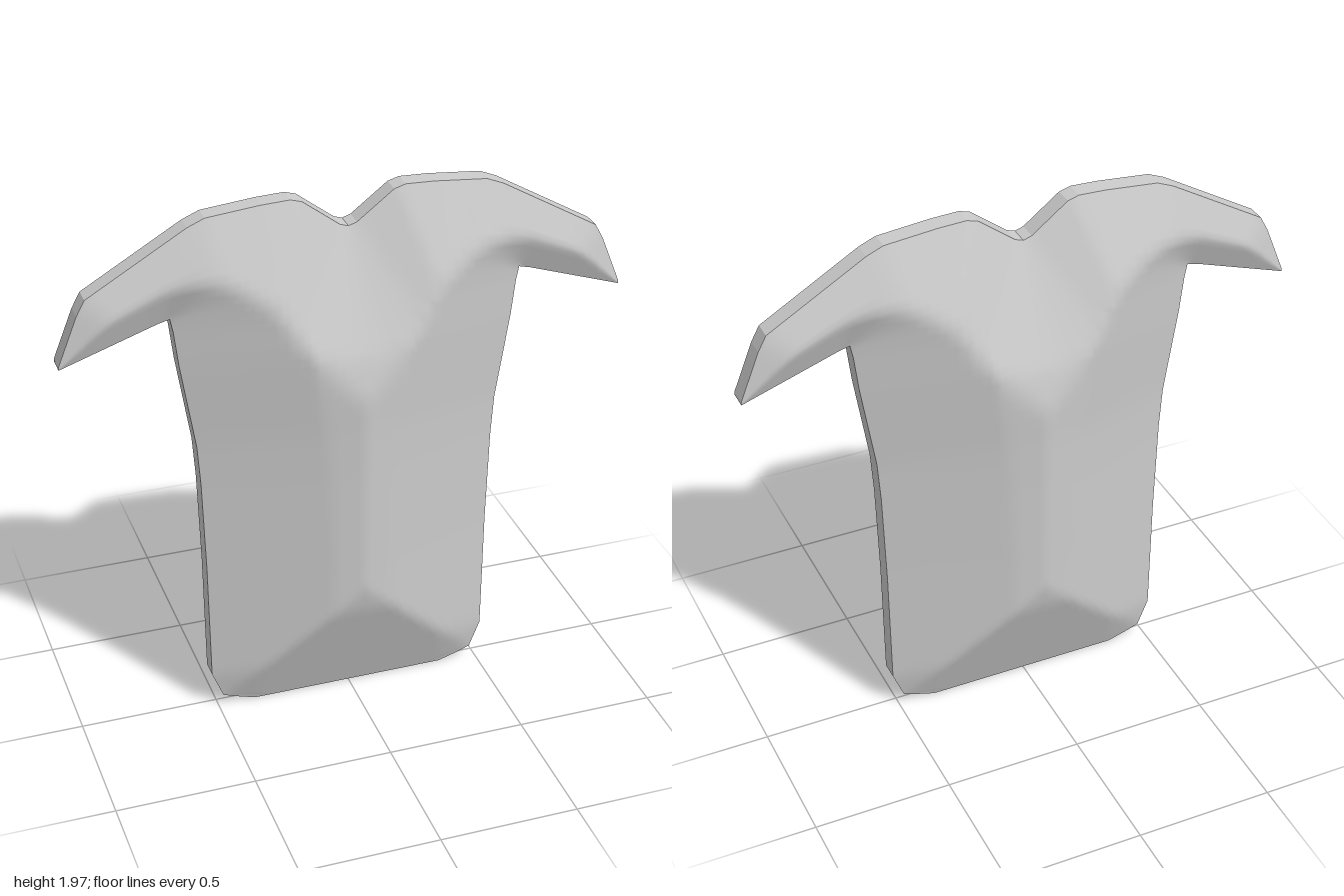
import * as THREE from 'three';
import { mergeVertices } from 'three/addons/utils/BufferGeometryUtils.js';

const RIM = 0.034; // half thickness at the edge

// Right half of the outline: hem and side, sleeve underside, shoulder to collar
const side = [[0.36, 0], [0.44, 0.025], [0.48, 0.04], [0.52, 0.14], [0.525, 0.6], [0.535, 0.95], [0.545, 1.1],
  [0.595, 1.42], [0.61, 1.55], [0.62, 1.6]];
const under = [[0.62, 1.6], [0.66, 1.59], [1, 1.475]];
const over = [[0, 1.845], [0.03, 1.855], [0.16, 1.955], [0.2, 1.967], [0.3, 1.963], [0.49, 1.945], [0.55, 1.92],
  [0.9, 1.715], [0.93, 1.66], [1, 1.485]];

const half = [...side, ...under.slice(1), ...[...over].reverse()];
const outline = [...half, ...half.slice(0, -1).reverse().map(([x, y]) => [-x, y])];

// Piecewise linear lookup: column k gives the key, column v the value
function lookup(points, key, k, v) {
  for (let i = 1; i < points.length; i++) {
    const a = points[i - 1], b = points[i];
    if (key <= b[k]) return a[v] + (b[v] - a[v]) * (key - a[k]) / (b[k] - a[k]);
  }
  return points[points.length - 1][v];
}

// Split every interval into steps no longer than max
function subdivide(keys, max) {
  const out = [keys[0]];
  for (let i = 1; i < keys.length; i++) {
    const a = keys[i - 1], b = keys[i], n = Math.ceil((b - a) / max);
    for (let j = 1; j <= n; j++) out.push(a + (b - a) * j / n);
  }
  return out;
}

function edgeDistance(x, y) {
  let best = Infinity;
  outline.forEach(([ax, ay], i) => {
    const [bx, by] = outline[(i + 1) % outline.length];
    const dx = bx - ax, dy = by - ay;
    const t = THREE.MathUtils.clamp(((x - ax) * dx + (y - ay) * dy) / (dx * dx + dy * dy), 0, 1);
    best = Math.min(best, Math.hypot(x - ax - dx * t, y - ay - dy * t));
  });
  return best;
}

// The cloth swells steadily inward from the edge and levels off along the middle
function swell(x, y) {
  const d = edgeDistance(x, y);
  return RIM + (d < 0.42 ? 0.4 * d : 0.168 + 0.22 * (d - 0.42));
}

// Grid of points at(i, j) turned into triangles, mirrored diagonals left and right
function patch(out, nx, ny, at) {
  const grid = [];
  for (let i = 0; i < nx; i++) {
    grid.push([]);
    for (let j = 0; j < ny; j++) {
      const [x, y] = at(i, j);
      grid[i].push([x, y, swell(x, y)]);
    }
  }
  for (let i = 0; i < nx - 1; i++) {
    for (let j = 0; j < ny - 1; j++) {
      const a = grid[i][j], b = grid[i + 1][j], c = grid[i + 1][j + 1], d = grid[i][j + 1];
      out.push(...(i < (nx - 1) / 2 ? [a, b, c, a, c, d] : [a, b, d, b, c, d]));
    }
  }
}

function toGeometry(points) {
  const g = new THREE.BufferGeometry();
  g.setAttribute('position', new THREE.Float32BufferAttribute(points.flat(), 3));
  return g;
}

export function createModel() {
  const group = new THREE.Group();
  group.name = 'shirt';
  const material = new THREE.MeshStandardMaterial({ color: 0xcccccc });
  const add = (name, geometry) => {
    geometry.computeVertexNormals();
    const mesh = new THREE.Mesh(geometry, material);
    mesh.name = name;
    group.add(mesh);
  };
  const mirror = (xs) => [...xs.slice(1).reverse().map((x) => -x), ...xs];

  // Torso columns are shared by the body and the yoke above it
  const torso = subdivide([...over.map((p) => p[0]).filter((x) => x < 0.6), 0.62], 0.035);
  const torsoX = mirror(torso);
  const yokeX = mirror([...torso, ...subdivide([0.62, 0.66, 0.9, 0.93, 1], 0.03).slice(1)]);
  const rows = subdivide(side.map((p) => p[1]), 0.04);

  // Body below the armpits, then yoke with both sleeves
  const face = [];
  patch(face, torsoX.length, rows.length, (i, j) => [
    torsoX[i] / 0.62 * lookup(side, rows[j], 1, 0), rows[j],
  ]);
  const steps = 12;
  patch(face, yokeX.length, steps + 1, (i, j) => {
    const x = Math.abs(yokeX[i]);
    const lo = x <= 0.62 ? 1.6 : lookup(under, x, 0, 1);
    return [yokeX[i], lo + (lookup(over, x, 0, 1) - lo) * j / steps];
  });
  add('frontPanel', mergeVertices(toGeometry(face), 1e-4));

  // Back panel: mirrored in z with reversed corner order
  const back = face.map(([x, y, z]) => [x, y, -z]).reverse();
  add('backPanel', mergeVertices(toGeometry(back), 1e-4));

  // Flat rim joining the two panels
  const rim = [];
  outline.forEach((a, i) => {
    const b = outline[(i + 1) % outline.length];
    const a0 = [...a, -RIM], a1 = [...a, RIM], b0 = [...b, -RIM], b1 = [...b, RIM];
    rim.push(a0, b0, b1, a0, b1, a1);
  });
  add('rim', toGeometry(rim));

  return group;
}
